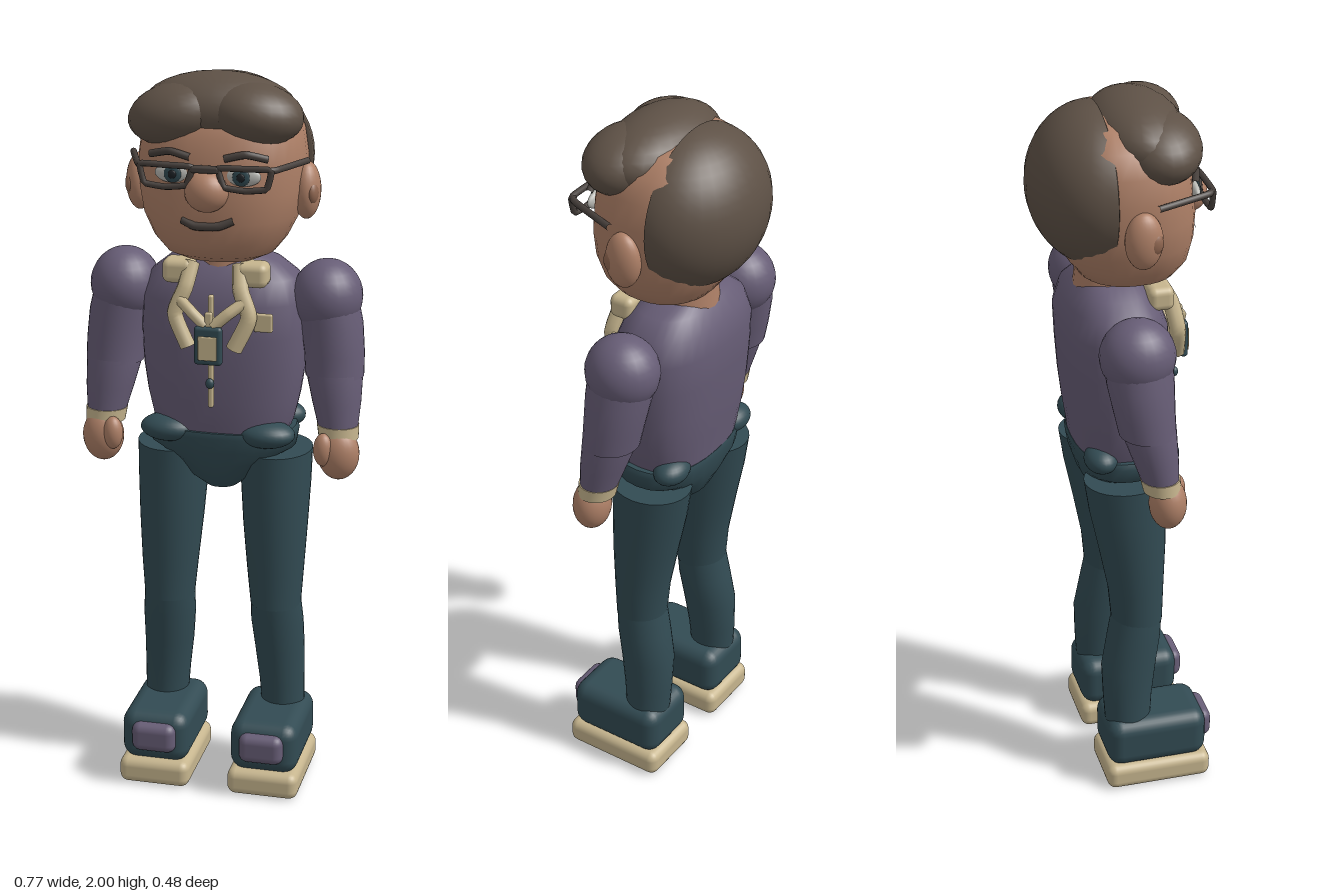
import * as THREE from 'three';
import { RoundedBoxGeometry } from 'three/addons/geometries/RoundedBoxGeometry.js';

const mat = (name, color) => {
  const m = new THREE.MeshStandardMaterial({ color });
  m.name = name;
  return m;
};

// Vertical loft through superellipse rings [y, cx, cz, rx, rz], lowest ring first.
function loft(rings, power = 2, n = 28) {
  const pos = [], idx = [];
  const addRing = ([y, cx, cz, rx, rz]) => {
    const start = pos.length / 3;
    for (let j = 0; j < n; j++) {
      const a = (j / n) * Math.PI * 2, c = Math.cos(a), s = Math.sin(a);
      pos.push(cx + rx * Math.sign(c) * Math.abs(c) ** (2 / power), y,
        cz + rz * Math.sign(s) * Math.abs(s) ** (2 / power));
    }
    return start;
  };
  const starts = rings.map(addRing);
  for (let i = 0; i + 1 < starts.length; i++) {
    for (let j = 0; j < n; j++) {
      const k = (j + 1) % n, a = starts[i], b = starts[i + 1];
      idx.push(a + j, b + j, a + k, b + j, b + k, a + k);
    }
  }
  // separate cap rings keep the end edges sharp
  [rings[0], rings[rings.length - 1]].forEach((r, top) => {
    const st = addRing(r), c = pos.length / 3;
    pos.push(r[1], r[0], r[2]);
    for (let j = 0; j < n; j++) {
      const k = (j + 1) % n;
      if (top) idx.push(c, st + k, st + j);
      else idx.push(c, st + j, st + k);
    }
  });
  const g = new THREE.BufferGeometry();
  g.setAttribute('position', new THREE.Float32BufferAttribute(pos, 3));
  g.setIndex(idx);
  g.computeVertexNormals();
  return g;
}

const ball = (x, y, z, rx, ry, rz) =>
  new THREE.SphereGeometry(1, 24, 16).scale(rx, ry, rz).translate(x, y, z);
const box = (x, y, z, w, h, d, r = 0.01) =>
  new RoundedBoxGeometry(w, h, d, 3, r).translate(x, y, z);
const tube = (pts, r, closed = false, tension = 0.3) => new THREE.TubeGeometry(
  new THREE.CatmullRomCurve3(pts.map(p => new THREE.Vector3(...p)), closed, 'catmullrom', tension),
  closed ? 40 : 20, r, 8, closed);

export function createModel() {
  const root = new THREE.Group();
  const skin = mat('skin', 0xae8067), hair = mat('hair', 0x5e5146);
  const purple = mat('sweater purple', 0x675d76), teal = mat('trouser teal', 0x324b53);
  const cream = mat('cream', 0xc6b58e), dark = mat('dark brown', 0x463f3b);
  const white = mat('eye white', 0xb9b9b4), black = mat('pupil black', 0x1c2024);
  const earSkin = mat('ear shade', 0x8f6650);
  const add = (name, geo, m, parent = root) => {
    const mesh = new THREE.Mesh(geo, m);
    mesh.name = name;
    parent.add(mesh);
    return mesh;
  };
  const group = name => {
    const g = new THREE.Group();
    g.name = name;
    root.add(g);
    return g;
  };

  // head
  const head = group('head');
  add('skull', loft([
    [1.51, 0, 0.03, 0.1, 0.08], [1.53, 0, 0.02, 0.145, 0.13], [1.57, 0, 0.02, 0.177, 0.16],
    [1.63, 0, 0.01, 0.207, 0.182], [1.7, 0, 0.005, 0.22, 0.19], [1.78, 0, 0, 0.222, 0.187],
    [1.85, 0, 0, 0.212, 0.178], [1.91, 0, -0.01, 0.185, 0.15], [1.95, 0, -0.02, 0.13, 0.1],
    [1.965, 0, -0.02, 0.05, 0.04]], 2.3, 32), skin, head);
  add('neck', new THREE.CylinderGeometry(0.085, 0.1, 0.15, 24).translate(0, 1.5, -0.025), skin, head);
  add('nose', ball(0, 1.717, 0.19, 0.058, 0.054, 0.05), skin, head);
  add('mouth', tube([[-0.066, 1.637, 0.183], [-0.03, 1.625, 0.193], [0.03, 1.627, 0.193],
    [0.068, 1.642, 0.183]], 0.011), dark, head);

  // hair: back shell flattened towards the face, plus crown and two fringe lobes
  const back = new THREE.SphereGeometry(1, 32, 24);
  const bp = back.attributes.position;
  for (let i = 0; i < bp.count; i++) if (bp.getZ(i) > 0) bp.setZ(i, bp.getZ(i) * 0.06);
  back.computeVertexNormals();
  add('backHair', back.scale(0.229, 0.214, 0.185).translate(0, 1.768, -0.055), hair, head);
  add('crownHair', ball(0, 1.905, 0.045, 0.205, 0.095, 0.125), hair, head);
  const fringeL = ball(0, 0, 0, 0.13, 0.08, 0.105).rotateZ(-0.12).translate(0.1, 1.902, 0.083);
  const fringeR = ball(0, 0, 0, 0.135, 0.082, 0.108).rotateZ(0.2).translate(-0.1, 1.893, 0.083);
  add('leftFringe', fringeL, hair, head);
  add('rightFringe', fringeR, hair, head);

  // torso and hips
  add('sweater', loft([
    [1.0, 0, -0.01, 0.17, 0.118], [1.05, 0, -0.008, 0.192, 0.124], [1.12, 0, -0.01, 0.208, 0.132],
    [1.2, 0, -0.013, 0.22, 0.138], [1.3, 0, -0.016, 0.225, 0.142], [1.39, 0, -0.022, 0.222, 0.14],
    [1.45, 0, -0.025, 0.2, 0.12], [1.49, 0, -0.025, 0.15, 0.09], [1.51, 0, -0.025, 0.09, 0.07]],
  2.5, 32), purple);
  add('hips', loft([
    [0.86, 0, 0, 0.045, 0.06], [0.89, 0, 0, 0.085, 0.09], [0.94, 0, -0.003, 0.13, 0.112],
    [0.98, 0, -0.005, 0.2, 0.123], [1.02, 0, -0.005, 0.207, 0.13], [1.035, 0, -0.005, 0.2, 0.127]],
  2.4), teal);

  // lanyard, card and zip
  const front = group('collarAndCard');
  add('zip', box(0, 1.275, 0.146, 0.014, 0.31, 0.018, 0.005), cream, front);
  add('zipPull', ball(0, 1.19, 0.16, 0.012, 0.014, 0.01), teal, front);
  add('card', box(0, 1.3, 0.177, 0.076, 0.105, 0.022), teal, front);
  add('cardFace', box(0, 1.295, 0.189, 0.05, 0.065, 0.008, 0.003), cream, front);
  add('cardClip', box(0, 1.365, 0.172, 0.02, 0.05, 0.014, 0.005), cream, front);
  add('chestTag', box(0.135, 1.355, 0.12, 0.05, 0.05, 0.014, 0.005), cream, front);

  // mirrored parts
  for (const s of [1, -1]) {
    const side = group(s > 0 ? 'leftSide' : 'rightSide');
    const put = (name, geo, m) => add(name, geo, m, side);
    const limb = rings => loft(rings.map(([y, x, ...r]) => [y, s * x, ...r]));

    // ear and eye
    put('ear', ball(s * 0.225, 1.692, 0.01, 0.037, 0.077, 0.05), skin);
    put('innerEar', ball(s * 0.243, 1.69, 0.03, 0.017, 0.032, 0.026), earSkin);
    put('eyeWhite', ball(s * 0.09, 1.758, 0.177, 0.05, 0.026, 0.014), white);
    put('iris', ball(s * 0.09, 1.758, 0.189, 0.023, 0.023, 0.006), teal);
    put('pupil', ball(s * 0.09, 1.758, 0.194, 0.011, 0.011, 0.004), black);
    put('eyebrow', tube([[s * 0.045, 1.803, 0.185], [s * 0.1, 1.815, 0.18],
      [s * 0.155, 1.802, 0.163]], 0.01), dark);

    // glasses
    put('lensFrame', tube([[s * 0.035, 1.783, 0.207], [s * 0.105, 1.785, 0.207], [s * 0.172, 1.785, 0.205],
      [s * 0.16, 1.735, 0.205], [s * 0.105, 1.728, 0.207], [s * 0.05, 1.735, 0.207]],
    0.0085, true, 0.15), dark);
    put('templeArm', tube([[s * 0.165, 1.782, 0.204], [s * 0.183, 1.782, 0.185],
      [s * 0.233, 1.778, 0.045]], 0.009), dark);

    // collar bands
    put('collarEnd', box(s * 0.1, 1.477, 0.085, 0.085, 0.066, 0.07, 0.02), cream);
    put('collarBand', tube([[s * 0.065, 1.5, 0.09], [s * 0.075, 1.44, 0.125], [s * 0.1, 1.37, 0.138],
      [s * 0.062, 1.285, 0.148]], 0.022), cream);
    put('innerBand', tube([[s * 0.085, 1.41, 0.14], [s * 0.05, 1.385, 0.16], [s * 0.01, 1.35, 0.168]],
      0.016), cream);

    // arm
    put('shoulder', ball(s * 0.278, 1.4, -0.02, 0.095, 0.1, 0.1), purple);
    put('upperArm', limb([[1.19, 0.305, 0, 0.079, 0.075], [1.25, 0.302, -0.008, 0.081, 0.08],
      [1.33, 0.292, -0.016, 0.084, 0.088], [1.41, 0.278, -0.02, 0.08, 0.09]]), purple);
    put('forearm', limb([[1.055, 0.322, 0.03, 0.054, 0.05], [1.12, 0.315, 0.018, 0.066, 0.061],
      [1.2, 0.305, 0.002, 0.077, 0.073], [1.22, 0.305, 0, 0.07, 0.066]]), purple);
    put('cuff', limb([[1.025, 0.325, 0.035, 0.054, 0.05], [1.06, 0.322, 0.03, 0.057, 0.053]]), cream);
    put('hand', ball(s * 0.328, 0.983, 0.05, 0.057, 0.073, 0.05), skin);
    put('thumb', ball(s * 0.292, 1.0, 0.08, 0.027, 0.046, 0.027), skin);

    // pockets
    put('frontPocket', ball(s * 0.135, 1.03, 0.075, 0.078, 0.037, 0.058), teal);
    put('backPocket', ball(s * 0.15, 1.037, -0.085, 0.06, 0.036, 0.045), teal);

    // leg
    put('thigh', limb([[0.515, 0.152, 0.015, 0.07, 0.071], [0.62, 0.15, 0.012, 0.079, 0.077],
      [0.75, 0.147, 0.002, 0.089, 0.092], [0.87, 0.145, -0.01, 0.096, 0.105],
      [0.965, 0.144, -0.017, 0.099, 0.112]]), teal);
    put('shin', limb([[0.18, 0.17, -0.015, 0.06, 0.063], [0.27, 0.166, -0.015, 0.063, 0.069],
      [0.37, 0.16, -0.01, 0.069, 0.077], [0.46, 0.155, 0.005, 0.073, 0.075],
      [0.53, 0.152, 0.014, 0.07, 0.071]]), teal);

    // shoe
    put('sole', box(s * 0.155, 0.038, 0.06, 0.2, 0.076, 0.3, 0.025), cream);
    put('shoe', box(s * 0.155, 0.143, 0.058, 0.19, 0.146, 0.285, 0.04), teal);
    put('toePatch', box(s * 0.153, 0.15, 0.195, 0.125, 0.085, 0.056, 0.025), purple);
  }
  add('glassesBridge', box(0, 1.778, 0.205, 0.075, 0.018, 0.024, 0.006), dark, head);
  return root;
}
